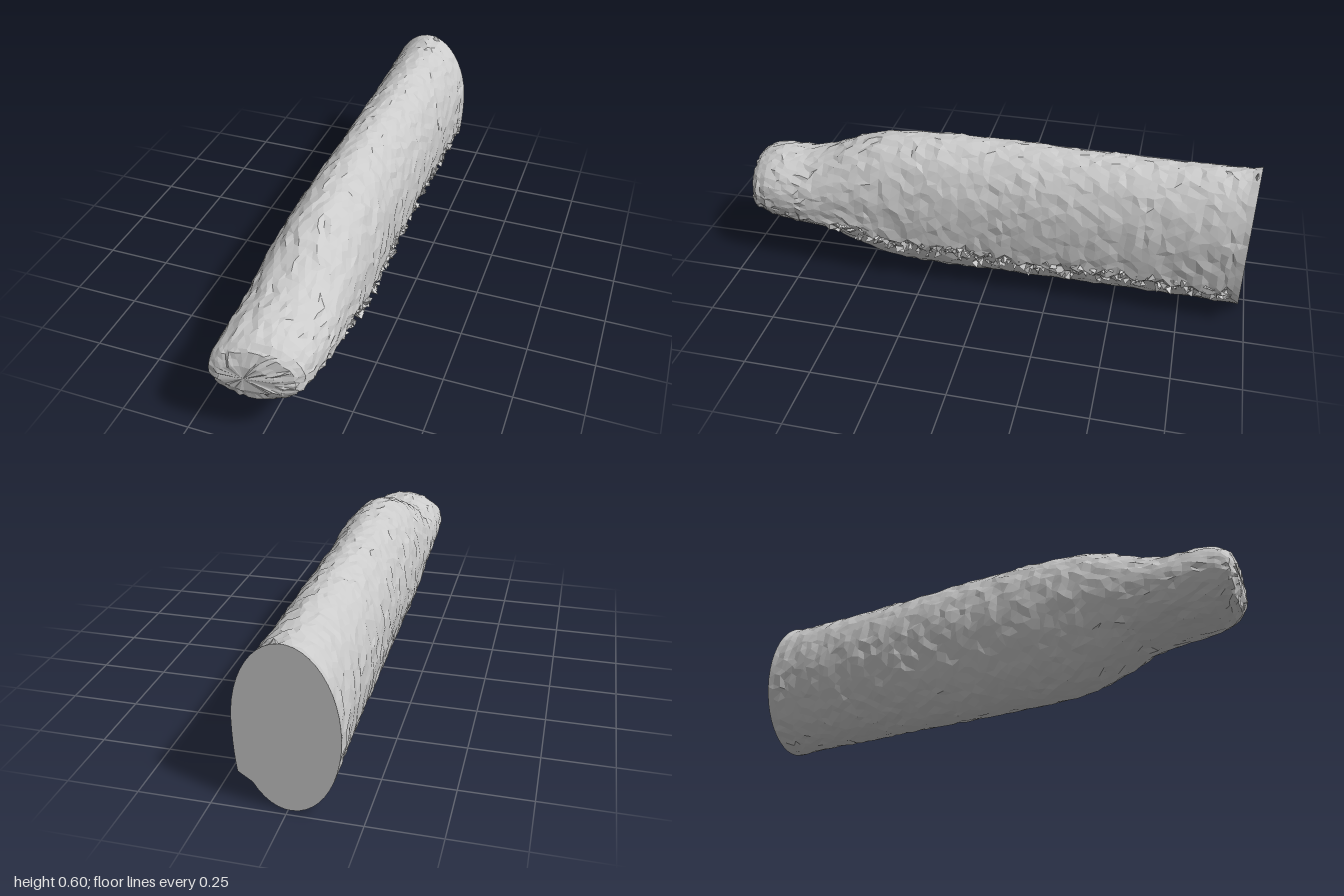
import * as THREE from 'three';

const mat = new THREE.MeshStandardMaterial({ color: 0xcccccc, flatShading: true, side: THREE.DoubleSide });

// Seeded random numbers for the rough surface
let seed = 7;
const rnd = () => (seed = (seed * 16807) % 2147483647) / 2147483647;
const jitter = (a) => (rnd() - 0.5) * 2 * a;

// Length profile: z, bottom y, top y, right x, left x
const profile = [
  [-1.0, 0.008, 0.592, -0.182, 0.178], [-0.97, 0.01, 0.583, -0.18, 0.175],
  [-0.7, 0.012, 0.58, -0.172, 0.166], [-0.4, 0.01, 0.583, -0.168, 0.164],
  [0, 0.008, 0.588, -0.164, 0.162], [0.2, 0.01, 0.59, -0.166, 0.174],
  [0.32, 0.014, 0.583, -0.168, 0.176], [0.42, 0.028, 0.57, -0.168, 0.177],
  [0.5, 0.058, 0.548, -0.168, 0.178], [0.58, 0.098, 0.515, -0.168, 0.178],
  [0.66, 0.13, 0.477, -0.168, 0.178], [0.74, 0.143, 0.457, -0.167, 0.178],
  [0.85, 0.15, 0.457, -0.165, 0.174], [0.92, 0.163, 0.445, -0.162, 0.168],
  [0.96, 0.182, 0.425, -0.16, 0.156], [0.985, 0.205, 0.4, -0.15, 0.135],
  [1.0, 0.25, 0.35, -0.115, 0.07],
];
// Height of the torn seam along the left side: z, y
const seam = [[-1, 0.135], [-0.5, 0.155], [-0.1, 0.135], [0.25, 0.165], [0.55, 0.205], [0.8, 0.235], [1, 0.25]];

function sample(table, z) {
  let i = 0;
  while (i < table.length - 2 && z > table[i + 1][0]) i++;
  const t = (z - table[i][0]) / (table[i + 1][0] - table[i][0]);
  return table[i].map((v, k) => THREE.MathUtils.lerp(v, table[i + 1][k], t));
}

// Both ends are cut slightly askew
function skew(x, z) {
  return z + 0.1 * (x + 0.18) * THREE.MathUtils.smoothstep(-z, 0.85, 1)
    - 0.11 * Math.max(0, x + 0.15) * THREE.MathUtils.smoothstep(z, 0.75, 1);
}

// Oval section; the upper skin hangs out over the seam on the left side
function sectionPoint(z, angle, seamY) {
  const [, y0, y1, xr, xl] = sample(profile, z);
  const c = Math.cos(angle), mid = (y0 + y1) / 2;
  const y = mid + (y1 - y0) / 2 * Math.sin(angle);
  let x = (xl + xr) / 2 + (xl - xr) / 2 * c;
  if (c > 0 && y < mid) {
    if (y > seamY) x = THREE.MathUtils.lerp(x, xl, 0.7);
    else x -= 0.008 * c;
  }
  return [x, y];
}

function createBody() {
  const zs = [];
  for (let i = 0; i <= 66; i++) zs.push(-1 + i * 0.029);
  zs.push(0.94, 0.96, 0.975, 0.985, 0.993, 1);
  const n = 46, pos = [], index = [];
  zs.forEach((z, r) => {
    const rough = r === 0 ? 0 : 0.004;
    const seamY = sample(seam, z)[1] + jitter(0.022);
    for (let j = 0; j < n; j++) {
      const a = ((j + (r % 2) * 0.5 + (r ? jitter(0.25) : 0)) / n) * Math.PI * 2;
      const [x, y] = sectionPoint(z, a, seamY);
      const zz = z + (r && z < 0.9 ? jitter(0.009) : 0);
      pos.push(x + jitter(rough), Math.max(0, y + jitter(rough)), skew(x, zz) + (z > 0.95 ? jitter(0.003) : 0));
    }
  });
  for (let r = 0; r < zs.length - 1; r++) {
    for (let j = 0; j < n; j++) {
      const a = r * n + j, b = r * n + (j + 1) % n, c = a + n, d = b + n;
      // Alternate rows are offset half a step
      if (r % 2) index.push(a, b, d, a, d, c);
      else index.push(a, b, c, b, d, c);
    }
  }
  // End caps
  const back = pos.length / 3, last = (zs.length - 1) * n;
  pos.push(0, 0.3, skew(0, -1), -0.03, 0.3, skew(-0.03, 1) + 0.002);
  for (let j = 0; j < n; j++) {
    const k = (j + 1) % n;
    index.push(back, k, j, back + 1, last + j, last + k);
  }
  const g = new THREE.BufferGeometry();
  g.setAttribute('position', new THREE.Float32BufferAttribute(pos, 3));
  g.setIndex(index);
  g.computeVertexNormals();
  const mesh = new THREE.Mesh(g, mat);
  mesh.name = 'body';
  return mesh;
}

// Loose angular crumbs stuck along the torn seam
function createCrumbs() {
  const group = new THREE.Group();
  group.name = 'seamCrumbs';
  for (let i = 0; i < 150; i++) {
    const z = -0.96 + 1.56 * (i + rnd()) / 150;
    const y = sample(seam, z)[1] + jitter(0.035);
    const size = 0.008 + rnd() * 0.011;
    const crumb = new THREE.Mesh(new THREE.TetrahedronGeometry(size * 1.3), mat);
    const [, y0, y1, xr, xl] = sample(profile, z);
    const s = (y - (y0 + y1) / 2) / ((y1 - y0) / 2);
    const edge = (xl + xr) / 2 + (xl - xr) / 2 * Math.sqrt(Math.max(0, 1 - s * s));
    crumb.position.set(Math.min(edge + rnd() * 0.018, 0.172), y, skew(xl, z));
    crumb.rotation.set(rnd() * 6, rnd() * 6, rnd() * 6);
    crumb.scale.set(0.8, 0.8, 1.3);
    crumb.name = 'crumb';
    group.add(crumb);
  }
  return group;
}

// Small raised lip on the top of the back edge
function createLip() {
  const lip = new THREE.Mesh(new THREE.ConeGeometry(0.03, 0.035, 5), mat);
  lip.scale.z = 0.4;
  lip.position.set(0.027, 0.583, -0.966);
  lip.name = 'backLip';
  return lip;
}

export function createModel() {
  seed = 7;
  const model = new THREE.Group();
  model.name = 'loaf';
  model.add(createBody(), createCrumbs(), createLip());
  return model;
}
